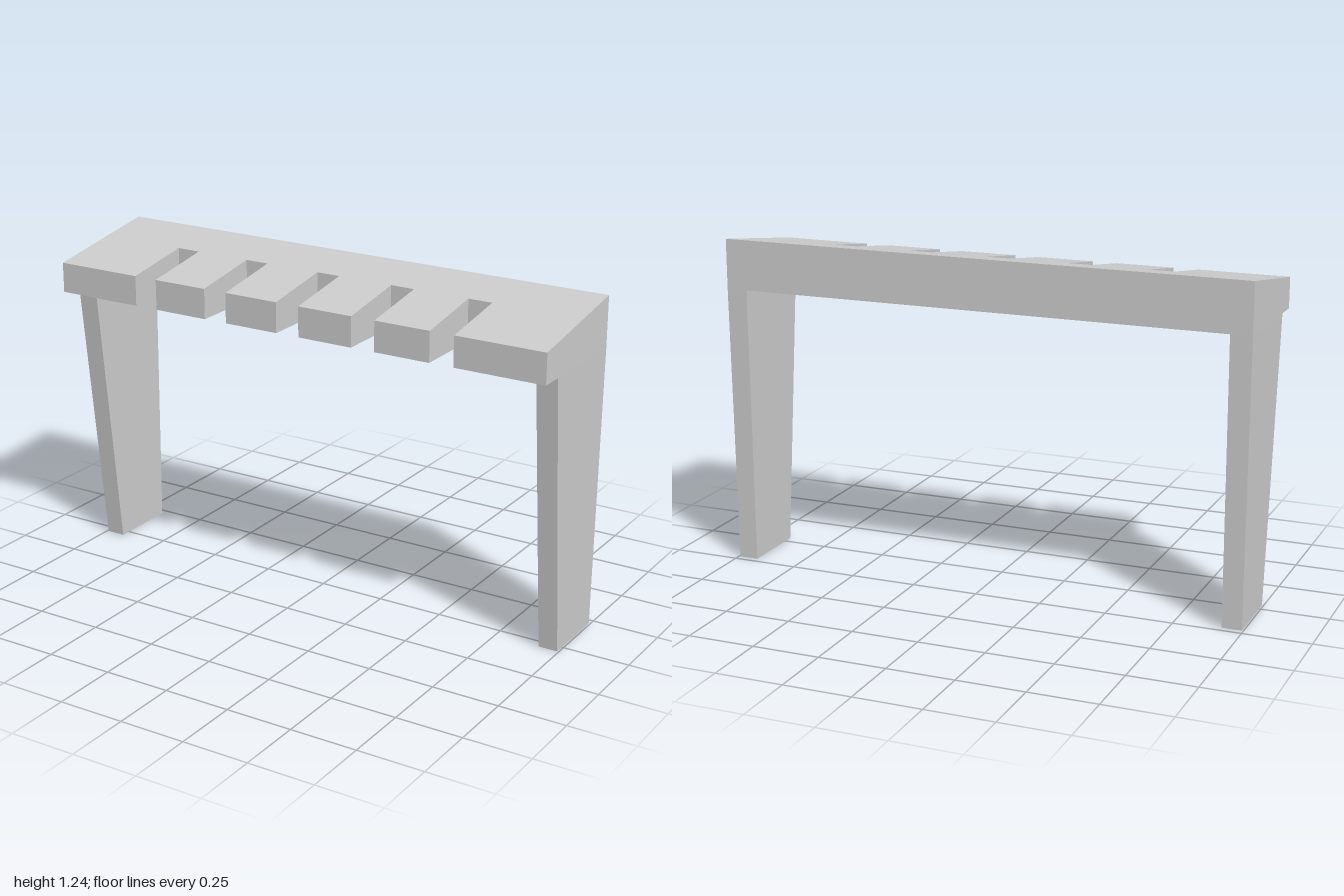
import * as THREE from 'three';

const UNDER = 1.05;              // underside of the top slab
const FRONT = 0.235, BACK = -0.235;
const SLOT_END = -0.036, SLOT_W = 0.092, SLOT_PITCH = 0.307;

// Height of the sloping top surface at depth z
const topAt = z => 1.2 - z * (0.074 / 0.47);

// Comb-shaped slab: slots open to the front, upper face tilted towards the front
function slabGeometry() {
  const s = new THREE.Shape();   // drawn in x and -z
  s.moveTo(-1, -FRONT);
  for (let i = -2; i <= 2; i++) {
    const x = i * SLOT_PITCH - 0.002;
    s.lineTo(x - SLOT_W / 2, -FRONT);
    s.lineTo(x - SLOT_W / 2, -SLOT_END);
    s.lineTo(x + SLOT_W / 2, -SLOT_END);
    s.lineTo(x + SLOT_W / 2, -FRONT);
  }
  s.lineTo(1, -FRONT);
  s.lineTo(1, -BACK);
  s.lineTo(-1, -BACK);
  s.closePath();
  const g = new THREE.ExtrudeGeometry(s, { depth: 1, bevelEnabled: false });
  g.rotateX(-Math.PI / 2);
  const p = g.attributes.position;
  for (let i = 0; i < p.count; i++) {
    p.setY(i, p.getY(i) > 0.5 ? topAt(p.getZ(i)) : UNDER);
  }
  g.computeVertexNormals();
  return g;
}

// Hollow leg, open at both ends, tapering towards the floor
function legGeometry(side) {
  const box = new THREE.BoxGeometry(1, 1, 1);
  const index = Array.from(box.index.array);
  box.setIndex([...index.slice(0, 12), ...index.slice(24, 36)]);
  const g = box.toNonIndexed();
  const p = g.attributes.position;
  for (let i = 0; i < p.count; i++) {
    const top = p.getY(i) > 0;
    const outer = p.getX(i) * side > 0;
    const front = p.getZ(i) > 0;
    const x = outer ? (top ? 1 : 0.994) : 0.921;
    const z = front ? (top ? 0.146 : 0.038) : (top ? BACK : -0.224);
    p.setXYZ(i, side * x, top ? UNDER : 0, z);
  }
  g.computeVertexNormals();
  return g;
}

export function createModel() {
  const group = new THREE.Group();
  group.name = 'slottedRack';
  const material = new THREE.MeshStandardMaterial({ color: 0xcccccc, flatShading: true });
  const thin = new THREE.MeshStandardMaterial({ color: 0xcccccc, flatShading: true, side: THREE.DoubleSide });

  const slab = new THREE.Mesh(slabGeometry(), material);
  slab.name = 'slottedTop';
  group.add(slab);

  for (const [name, side] of [['leftLeg', 1], ['rightLeg', -1]]) {
    const leg = new THREE.Mesh(legGeometry(side), thin);
    leg.name = name;
    group.add(leg);
  }
  return group;
}
